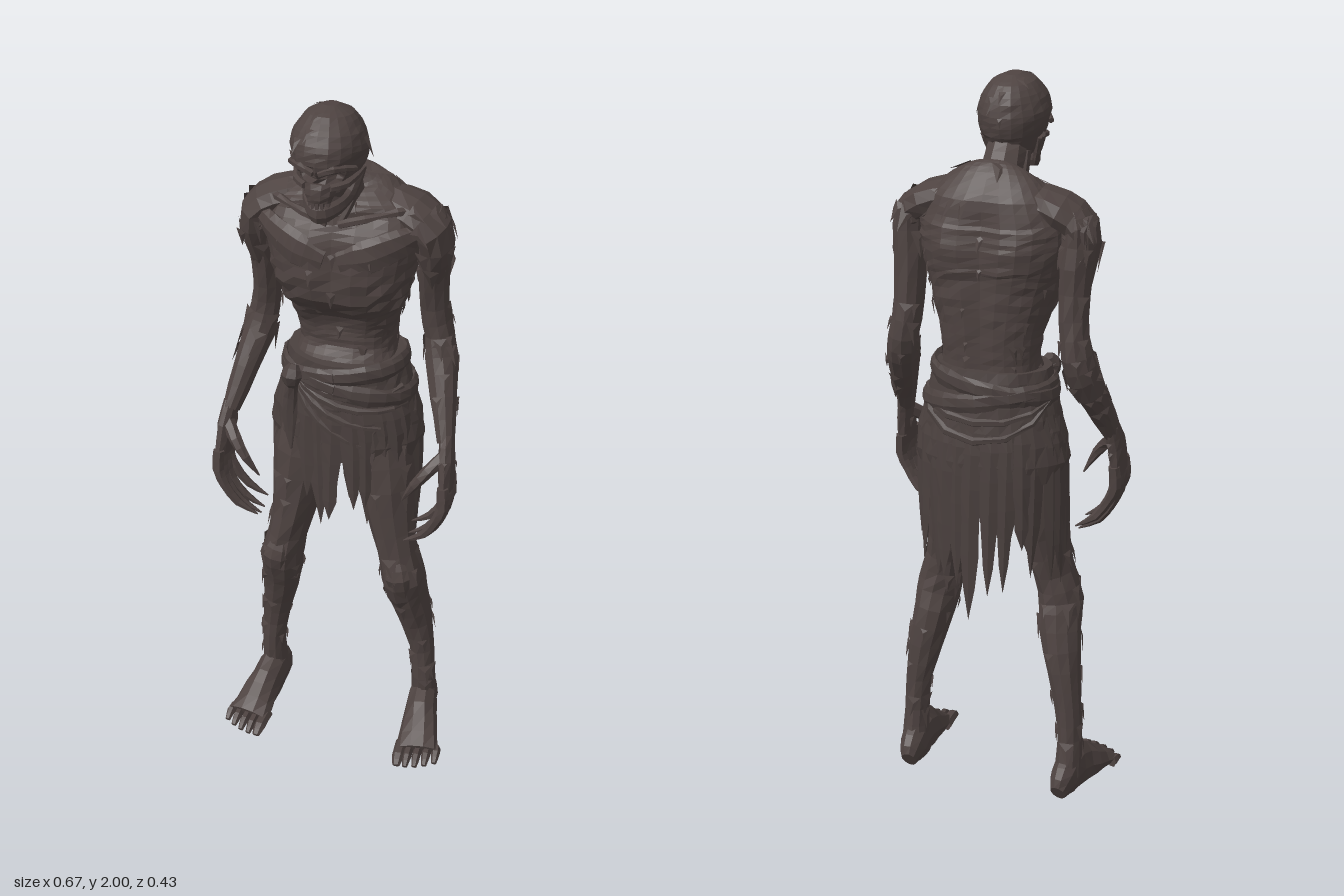
import * as THREE from 'three';

const V = (x, y, z) => new THREE.Vector3(x, y, z);
const X = V(1, 0, 0), Y = V(0, 1, 0), Z = V(0, 0, 1);
let seed = 7;
const rnd = () => (seed = (seed * 16807) % 2147483647) / 2147483647;
const bump = (d, w) => Math.exp(-(d / w) * (d / w));
const soft = (v, e) => Math.sign(v) * Math.abs(v) ** e;

const skin = new THREE.MeshStandardMaterial({ color: 0x4e4341, side: THREE.DoubleSide });
skin.name = 'withered skin';
const cloth = new THREE.MeshStandardMaterial({ color: 0x4a403e, side: THREE.DoubleSide });
cloth.name = 'ragged cloth';

// faceted mesh from a list of triangle corner points
function facets(name, pts, mat) {
  const g = new THREE.BufferGeometry().setFromPoints(pts);
  g.computeVertexNormals();
  const m = new THREE.Mesh(g, mat);
  m.name = name;
  return m;
}

// solid through cross-sections [x, y, z, radiusA, radiusB]; e < 1 squares the section, flaps adds slivers of torn skin
function loft(name, secs, { sides = 9, rows = 2, ref = X, jitter = 0.1, e = 1, shape, flaps = 0, flapSize = 0.05, mat = skin } = {}) {
  const path = new THREE.CatmullRomCurve3(secs.map(s => V(s[0], s[1], s[2])));
  const size = new THREE.CatmullRomCurve3(secs.map(s => V(s[3], s[4], 0)));
  const n = (secs.length - 1) * rows, rings = [], mids = [], dirs = [];
  for (let i = 0; i <= n; i++) {
    const c = path.getPoint(i / n), t = path.getTangent(i / n), r = size.getPoint(i / n);
    const u = ref.clone().addScaledVector(t, -ref.dot(t)).normalize(), w = t.clone().cross(u);
    const ring = [];
    for (let j = 0; j < sides; j++) {
      const a = j / sides * Math.PI * 2, k = 1 + (rnd() - 0.5) * jitter;
      const p = c.clone().addScaledVector(u, soft(Math.cos(a), e) * r.x * k).addScaledVector(w, soft(Math.sin(a), e) * r.y * k);
      if (shape) shape(p);
      ring.push(p);
    }
    rings.push(ring); mids.push(c); dirs.push(t);
  }
  const tri = [];
  for (let j = 0; j < sides; j++) {
    const k = (j + 1) % sides;
    for (let i = 0; i < n; i++) {
      const a = rings[i][j], b = rings[i][k], c = rings[i + 1][k], d = rings[i + 1][j];
      tri.push(a, b, c, a, c, d);
    }
    tri.push(mids[0], rings[0][k], rings[0][j], mids[n], rings[n][j], rings[n][k]);
  }
  for (let f = 0; f < flaps; f++) {
    const i = 1 + Math.floor(rnd() * (n - 2)), j = Math.floor(rnd() * sides), p = rings[i][j];
    const t = rings[i + 1][j].clone().sub(p).normalize();
    const o = p.clone().sub(mids[i]).normalize(), u = dirs[i].clone().cross(o).normalize();
    const L = flapSize * (0.6 + rnd() * 0.8), w = L * 0.3;
    const l = p.clone().addScaledVector(u, -w), r = p.clone().addScaledVector(u, w);
    const m = p.clone().addScaledVector(o, 0.006).addScaledVector(t, L * 0.3);
    const tip = p.clone().addScaledVector(t, L).addScaledVector(o, 0.005).addScaledVector(u, (rnd() - 0.5) * w);
    tri.push(l, m, r, l, tip, m, m, tip, r);
  }
  return facets(name, tri, mat);
}

// ribs, breastbone, hollow belly, spine and shoulder blades
function torsoShape(p) {
  const front = p.z > -0.02, x = Math.abs(p.x), y = p.y;
  const ribs = 1 + (front ? 0.035 : 0.01) * Math.sin((y + x * 0.45) * Math.PI * 2 / 0.062) * bump(y - 1.47, 0.08);
  if (x > 0.03) { p.x *= ribs; p.z = -0.04 + (p.z + 0.04) * ribs; }
  if (front) {
    p.z -= 0.016 * bump(x, 0.02) * bump(y - 1.57, 0.1);
    p.z -= 0.03 * bump(x, 0.08) * bump(y - 1.39, 0.05);
    p.z -= 0.02 * bump(x - 0.08, 0.06) * bump(y - 1.69, 0.025);
  } else {
    p.z += 0.014 * bump(x, 0.025) * bump(y - 1.5, 0.25);
    p.z -= 0.012 * bump(x - 0.1, 0.05) * bump(y - 1.6, 0.08);
  }
}

// eye sockets, nasal cavity and sunken temples
function headShape(p) {
  const x = Math.abs(p.x);
  if (p.z > 0.12) {
    p.z -= 0.035 * bump(x - 0.037, 0.02) * bump(p.y - 1.855, 0.018);
    p.z -= 0.022 * bump(x, 0.012) * bump(p.y - 1.82, 0.018);
  }
  p.x *= 1 - 0.12 * bump(p.z - 0.14, 0.03) * bump(p.y - 1.87, 0.03);
}

// point on the hip cloth; angle 0 is the front
const skirtAt = (a, y, out = 0) => {
  const d = 1.27 - y, rx = 0.157 + Math.min(0.045, d * 0.25) + out, rz = 0.118 + Math.min(0.018, d * 0.12) + out;
  return V(Math.sin(a) * rx, y, -0.06 - Math.min(0.012, d * 0.05) + Math.cos(a) * rz);
};

// hanging torn strips, tapering to ragged points
function tatters() {
  const tri = [], count = 28, rows = 6, top = 1.16;
  for (let i = 0; i < count; i++) {
    const a = i / count * Math.PI * 2 + (rnd() - 0.5) * 0.1, s = Math.sin(a), c = Math.cos(a);
    let tip = (c > 0.3 ? 0.92 : 0.82) - rnd() * 0.17;
    tip -= c < 0 ? 0.22 * bump(s, 0.3) : 0.08 * bump(s, 0.25);
    const lean = (rnd() - 0.5) * 0.14, out = (rnd() - 0.35) * 0.014;
    let last;
    for (let k = 0; k <= rows; k++) {
      const t = k / rows, y = top + (tip - top) * t, w = 0.21 * (1 - t) ** 0.5 * (0.7 + rnd() * 0.5), m = a + lean * t;
      const row = [skirtAt(m - w, y, out * t), skirtAt(m, y, out * t + 0.008 * t * (1 - t) * 4), skirtAt(m + w, y, out * t)];
      if (last) for (let q = 0; q < 2; q++)
        tri.push(last[q], row[q], row[q + 1], last[q], row[q + 1], last[q + 1]);
      last = row;
    }
  }
  return facets('clothTatters', tri, cloth);
}

function addArm(g, s, side) {
  const at = list => list.map(([x, ...r]) => [x * s, ...r]);
  g.add(loft(side + 'Shoulder', at([
    [0.1, 1.71, -0.055, 0.06, 0.045], [0.175, 1.69, -0.045, 0.08, 0.047], [0.228, 1.65, -0.038, 0.078, 0.045],
    [0.235, 1.57, -0.052, 0.062, 0.04], [0.225, 1.47, -0.078, 0.035, 0.025]]),
    { sides: 10, ref: Z, flaps: 16, flapSize: 0.055 }));
  g.add(loft(side + 'Arm', at([
    [0.215, 1.69, -0.045, 0.03, 0.05], [0.228, 1.65, -0.05, 0.042, 0.065], [0.226, 1.55, -0.065, 0.043, 0.058],
    [0.227, 1.42, -0.085, 0.038, 0.046], [0.24, 1.33, -0.092, 0.04, 0.05], [0.252, 1.27, -0.075, 0.044, 0.052],
    [0.274, 1.18, -0.02, 0.036, 0.042], [0.299, 1.08, 0.04, 0.023, 0.031]]), { sides: 10, flaps: 28, flapSize: 0.055 }));
  g.add(loft(side + 'Palm', at([
    [0.299, 1.1, 0.03, 0.02, 0.029], [0.307, 1.04, 0.055, 0.022, 0.044], [0.313, 0.96, 0.07, 0.018, 0.054]]), { flaps: 4, flapSize: 0.03 }));
  for (let i = 0; i < 4; i++) {
    const z = 0.025 + i * 0.029, d = [0.02, 0, 0, 0.015][i];
    g.add(loft(side + 'Finger', at([
      [0.311, 0.985, z, 0.016, 0.015], [0.314, 0.925, z + 0.005, 0.017, 0.016], [0.298, 0.865 + d, z + 0.006, 0.014, 0.014],
      [0.262, 0.81 + d, z, 0.012, 0.012], [0.208, 0.775 + d, z - 0.006, 0.002, 0.002]]), { sides: 6 }));
  }
  g.add(loft(side + 'Thumb', at([
    [0.3, 1.05, 0.065, 0.02, 0.022], [0.266, 1.02, 0.1, 0.017, 0.018], [0.234, 0.98, 0.115, 0.013, 0.013],
    [0.2, 0.92, 0.105, 0.002, 0.002]]), { sides: 6 }));
}

function addLeg(g, s, side) {
  const at = list => list.map(([x, ...r]) => [x * s, ...r]);
  g.add(loft(side + 'Leg', at([
    [0.1, 1.08, -0.06, 0.085, 0.1], [0.115, 0.95, -0.045, 0.083, 0.1], [0.136, 0.8, -0.025, 0.067, 0.083],
    [0.162, 0.67, -0.012, 0.056, 0.07], [0.18, 0.58, -0.012, 0.062, 0.072], [0.19, 0.5, -0.04, 0.056, 0.067],
    [0.21, 0.39, -0.064, 0.048, 0.053], [0.228, 0.28, -0.073, 0.037, 0.041], [0.235, 0.18, -0.075, 0.034, 0.043],
    [0.236, 0.07, -0.093, 0.038, 0.05]]), { sides: 11, flaps: 36, flapSize: 0.055 }));
  g.add(loft(side + 'Kneecap', at([
    [0.17, 0.66, 0.04, 0.025, 0.014], [0.18, 0.61, 0.052, 0.035, 0.02], [0.188, 0.54, 0.03, 0.024, 0.016]]), { sides: 7 }));
  const ground = p => { p.y = Math.max(0, p.y); };
  g.add(loft(side + 'Foot', at([
    [0.23, 0.04, -0.155, 0.022, 0.032], [0.233, 0.06, -0.12, 0.038, 0.064], [0.238, 0.074, -0.055, 0.044, 0.078],
    [0.252, 0.05, 0.02, 0.053, 0.055], [0.265, 0.024, 0.1, 0.063, 0.027]]), { sides: 10, shape: ground }));
  for (let i = 0; i < 5; i++) {
    const x = 0.213 + i * 0.026, r = i ? 0.013 : 0.018, end = 0.165 - i * i * 0.0025;
    g.add(loft(side + 'Toe', at([
      [x, 0.022, 0.075, r, 0.018], [x + 0.003, 0.022, end - 0.03, r, 0.017], [x + 0.005, 0.01, end, r * 0.6, 0.007]]),
      { sides: 6, shape: ground }));
  }
}

export function createModel() {
  seed = 7;
  const g = new THREE.Group();
  g.name = 'witheredFigure';

  g.add(loft('torso', [
    [0, 1.79, -0.035, 0.05, 0.035], [0, 1.765, -0.047, 0.11, 0.055], [0, 1.72, -0.05, 0.165, 0.095],
    [0, 1.66, -0.04, 0.2, 0.12], [0, 1.6, -0.034, 0.2, 0.134], [0, 1.52, -0.035, 0.185, 0.136],
    [0, 1.44, -0.055, 0.16, 0.117], [0, 1.36, -0.07, 0.135, 0.096], [0, 1.3, -0.072, 0.13, 0.088],
    [0, 1.22, -0.06, 0.15, 0.11], [0, 1.08, -0.06, 0.16, 0.113]],
    { sides: 28, rows: 4, jitter: 0.03, e: 0.84, shape: torsoShape, flaps: 50, flapSize: 0.045 }));
  g.add(loft('neck', [
    [0, 1.83, 0.045, 0.05, 0.045], [0, 1.77, 0.01, 0.055, 0.052], [0, 1.7, -0.03, 0.08, 0.067]], { sides: 10, rows: 3 }));

  // skull with a hanging open jaw
  g.add(loft('head', [
    [0, 1.995, 0.08, 0.02, 0.025], [0, 1.978, 0.082, 0.056, 0.068], [0, 1.94, 0.086, 0.083, 0.1],
    [0, 1.9, 0.092, 0.094, 0.113], [0, 1.865, 0.098, 0.088, 0.112], [0, 1.83, 0.105, 0.072, 0.098],
    [0, 1.805, 0.115, 0.055, 0.082]],
    { sides: 20, rows: 3, jitter: 0.03, shape: headShape, flaps: 14, flapSize: 0.04 }));
  g.add(loft('upperJaw', [
    [0, 1.83, 0.165, 0.043, 0.035], [0, 1.805, 0.172, 0.036, 0.034], [0, 1.788, 0.175, 0.03, 0.028]], { sides: 10 }));
  g.add(loft('lowerJaw', [
    [0.074, 1.845, 0.07, 0.014, 0.01], [0.056, 1.785, 0.1, 0.018, 0.01], [0.036, 1.765, 0.15, 0.02, 0.011],
    [0, 1.758, 0.188, 0.024, 0.013], [-0.036, 1.765, 0.15, 0.02, 0.011], [-0.056, 1.785, 0.1, 0.018, 0.01],
    [-0.074, 1.845, 0.07, 0.014, 0.01]], { sides: 7, rows: 3, ref: Y }));
  for (let i = -2; i <= 2; i++) {
    const tooth = new THREE.Mesh(new THREE.BoxGeometry(0.008, 0.022, 0.008), skin);
    tooth.position.set(i * 0.011, 1.783, 0.192 - i * i * 0.004);
    tooth.name = 'tooth';
    g.add(tooth);
  }

  for (const s of [1, -1]) {
    const side = s > 0 ? 'left' : 'right';
    g.add(loft(side + 'Brow', [
      [0.006 * s, 1.868, 0.2, 0.009, 0.012], [0.04 * s, 1.88, 0.193, 0.01, 0.012], [0.08 * s, 1.868, 0.142, 0.007, 0.008]],
      { sides: 6, ref: Y }));
    g.add(loft(side + 'Cheekbone', [
      [0.03 * s, 1.83, 0.188, 0.009, 0.01], [0.062 * s, 1.832, 0.155, 0.01, 0.01], [0.08 * s, 1.845, 0.08, 0.008, 0.008]],
      { sides: 6, ref: Y }));
    g.add(loft(side + 'Collarbone', [
      [0.015 * s, 1.68, 0.068, 0.011, 0.012], [0.08 * s, 1.7, 0.06, 0.011, 0.012], [0.15 * s, 1.712, 0.025, 0.011, 0.012],
      [0.2 * s, 1.705, -0.02, 0.013, 0.013]], { sides: 6, ref: Y }));
    g.add(loft(side + 'ChestMuscle', [
      [0.02 * s, 1.585, 0.088, 0.03, 0.01], [0.09 * s, 1.605, 0.08, 0.05, 0.02], [0.15 * s, 1.63, 0.052, 0.045, 0.02],
      [0.2 * s, 1.655, 0.01, 0.03, 0.02]], { sides: 8, ref: Y, rows: 3 }));
    g.add(loft(side + 'NeckTendon', [
      [0.05 * s, 1.81, 0.05, 0.01, 0.012], [0.045 * s, 1.75, 0.045, 0.011, 0.012], [0.015 * s, 1.68, 0.065, 0.009, 0.009]], { sides: 6 }));
    addArm(g, s, side);
    addLeg(g, s, side);
  }

  // hip cloth with twisted sashes, draped folds and a knot
  const skirt = [1.275, 1.22, 1.15, 1.08, 0.98].map(y => {
    const f = skirtAt(0, y), b = skirtAt(Math.PI, y), r = skirtAt(Math.PI / 2, y);
    return [0, y, (f.z + b.z) / 2, r.x, (f.z - b.z) / 2];
  });
  g.add(loft('hipCloth', skirt, { sides: 36, rows: 2, jitter: 0.05, mat: cloth }));
  g.add(tatters());
  for (const [y, tilt] of [[1.235, 0.025], [1.2, -0.03]]) {
    const ring = [];
    for (let i = 0; i <= 24; i++) {
      const a = i / 24 * Math.PI * 2, p = skirtAt(a, y + tilt * Math.sin(a));
      ring.push([p.x, p.y, p.z, 0.027, 0.012]);
    }
    g.add(loft('sash', ring, { sides: 7, ref: Y, rows: 1, jitter: 0.3, mat: cloth }));
  }
  for (let k = 0; k < 6; k++) {
    const front = k < 4, fold = [];
    for (let i = 0; i <= 6; i++) {
      const t = i / 6, a = front ? -0.8 + t * (2 - k * 0.28) : Math.PI - 1.3 + t * 2.6;
      const y = front ? 1.22 - t * (0.02 + k * 0.055) - 0.03 * Math.sin(t * Math.PI) : 1.2 - (k - 3) * 0.05 * Math.sin(t * Math.PI);
      const p = skirtAt(a, y);
      fold.push([p.x, p.y, p.z, 0.013 * (1.2 - t * 0.6), 0.01]);
    }
    g.add(loft('drapedFold', fold, { sides: 6, ref: Y, rows: 1, mat: cloth }));
  }
  g.add(loft('knot', [[-0.11, 1.26, 0.06, 0.014, 0.014], [-0.113, 1.235, 0.075, 0.03, 0.026], [-0.115, 1.2, 0.065, 0.016, 0.016],
    [-0.125, 1.11, 0.064, 0.022, 0.008], [-0.12, 1.0, 0.068, 0.003, 0.003]], { sides: 7, mat: cloth }));
  return g;
}
